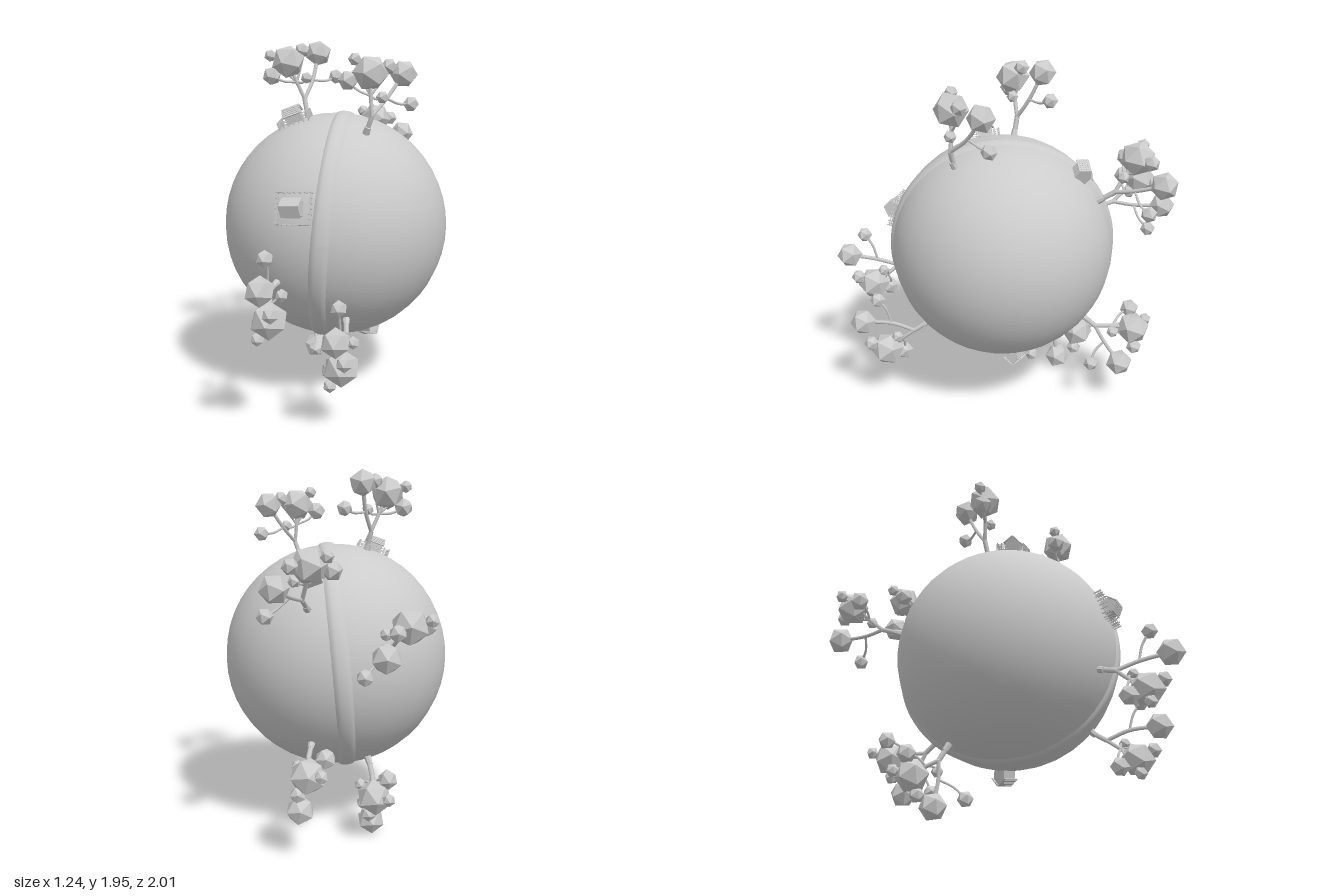
import * as THREE from 'three';

const CENTER = new THREE.Vector3(0, 0.94, 0.013);
const RADIUS = 0.622;
const smooth = new THREE.MeshStandardMaterial({ color: 0xcccccc });
const flat = new THREE.MeshStandardMaterial({ color: 0xcccccc, flatShading: true });
const V = (p) => new THREE.Vector3(...p);

function add(parent, name, geometry, material = flat, position = [0, 0, 0]) {
  const mesh = new THREE.Mesh(geometry, material);
  mesh.name = name;
  mesh.position.set(...position);
  parent.add(mesh);
  return mesh;
}

// Raised band that wanders around the globe, swept as a closed ring
function pathGeometry() {
  const steps = 96, n = 7;
  const pos = [], index = [];
  for (let i = 0; i <= steps; i++) {
    const a = (i / steps) * Math.PI * 2;
    for (let j = 0; j < n; j++) {
      const t = (j / (n - 1)) * 2 - 1;
      const x = 0.055 * Math.sin(a + 0.2) + 0.055 * t;
      const r = Math.sqrt(RADIUS ** 2 - x * x) + 0.012 - 0.024 * t ** 4;
      pos.push(x, r * Math.sin(a), r * Math.cos(a));
    }
  }
  for (let i = 0; i < steps; i++) {
    for (let j = 0; j < n - 1; j++) {
      const a = i * n + j, b = a + n;
      index.push(a, a + 1, b, a + 1, b + 1, b);
    }
  }
  const g = new THREE.BufferGeometry();
  g.setAttribute('position', new THREE.Float32BufferAttribute(pos, 3));
  g.setIndex(index);
  g.computeVertexNormals();
  return g;
}

// Every tree is one design, placed by its foot, main crown and second crown
const TREES = [
  [[0.2, 1.475, 0.27], [0.22, 1.78, 0.28], [0.38, 1.775, 0.13]],
  [[-0.17, 1.535, -0.06], [-0.28, 1.84, -0.055], [-0.135, 1.89, -0.21]],
  [[0.16, 1.26, -0.5], [0.15, 1.49, -0.7], [0.31, 1.39, -0.815]],
  [[-0.23, 1.07, -0.56], [-0.32, 1.215, -0.815], [-0.2, 1.085, -0.935]],
  [[-0.22, 0.73, 0.55], [-0.21, 0.6, 0.79], [-0.22, 0.785, 0.925]],
  [[0.12, 0.515, 0.45], [0.13, 0.34, 0.69], [0.12, 0.515, 0.82]],
  [[0.14, 0.545, -0.44], [0.16, 0.465, -0.735], [0.2, 0.26, -0.66]],
  [[-0.17, 0.4, -0.27], [-0.19, 0.25, -0.46], [-0.18, 0.078, -0.34]],
];
// Small crowns: offset from the main crown (along, outward, across), radius and limb
const SMALL_CROWNS = [
  { offset: [0.277, -0.157, 0.01], radius: 0.044, limb: 1 },
  { offset: [-0.09, -0.044, -0.068], radius: 0.054, limb: 0 },
  { offset: [0.094, 0.037, 0.03], radius: 0.044, limb: 0 },
  { offset: [0.045, -0.118, 0.055], radius: 0.034, limb: 0 },
  { offset: [-0.06, 0.065, -0.06], radius: 0.036, limb: 0 },
];

function branch(tree, name, points, radius) {
  const curve = new THREE.CatmullRomCurve3(points);
  add(tree, name, new THREE.TubeGeometry(curve, 8, radius, 6), smooth);
}

function makeTree(points) {
  const tree = new THREE.Group();
  tree.name = 'tree';
  const [foot, main, second] = points.map(V);
  const up = foot.clone().sub(CENTER).normalize();

  // Tree frame: along the crowns, outward from the foot, and across
  const along = second.clone().sub(main).normalize();
  const outward = main.clone().sub(foot);
  outward.addScaledVector(along, -outward.dot(along)).normalize();
  const frame = new THREE.Matrix4().makeBasis(along, outward, along.clone().cross(outward));

  const crown = (at, radius) => {
    const mesh = add(tree, 'crown', new THREE.IcosahedronGeometry(radius, 0), flat, at.toArray());
    mesh.quaternion.setFromRotationMatrix(frame);
  };

  // Flared trunk foot and short trunk up to the fork
  const fork = foot.clone().addScaledVector(up, 0.07).lerp(main.clone().lerp(second, 0.5), 0.12);
  const stub = add(tree, 'trunkFoot', new THREE.CylinderGeometry(0.016, 0.022, 0.05, 7), flat,
    foot.clone().addScaledVector(up, 0.008).toArray());
  stub.quaternion.setFromUnitVectors(new THREE.Vector3(0, 1, 0), up);
  branch(tree, 'trunk', [foot, foot.clone().lerp(fork, 0.5).addScaledVector(up, 0.008), fork], 0.014);

  // Two main limbs with a bend, each ending in a large crown
  const bends = [main, second].map((tip, i) => {
    const bend = fork.clone().lerp(tip, 0.5).addScaledVector(up, i ? -0.025 : -0.01);
    branch(tree, 'limb', [fork, bend, tip], 0.011);
    crown(tip, i ? 0.076 : 0.096);
    return bend;
  });

  // Twigs with small crowns
  for (const { offset, radius, limb } of SMALL_CROWNS) {
    const tip = V(offset).applyMatrix4(frame).add(main);
    const elbow = bends[limb].clone().lerp(tip, 0.55).addScaledVector(up, -0.015);
    branch(tree, 'twig', [bends[limb], elbow, tip], 0.007);
    crown(tip, radius);
  }
  return tree;
}

// Rectangle of posts and double rails
function makeFence(width, depth) {
  const fence = new THREE.Group();
  fence.name = 'fence';
  for (let k = 0; k < 4; k++) {
    const [length, reach] = k % 2 ? [depth, width / 2] : [width, depth / 2];
    const side = new THREE.Group();
    side.name = 'fenceSide';
    side.rotation.y = (k * Math.PI) / 2;
    for (const y of [0.01, 0.022]) {
      add(side, 'rail', new THREE.BoxGeometry(length, 0.004, 0.003), flat, [0, y, reach]);
    }
    for (let i = 0; i <= 6; i++) {
      add(side, 'post', new THREE.BoxGeometry(0.006, 0.045, 0.005), flat, [(i / 6 - 0.5) * length, 0.01, reach]);
    }
    fence.add(side);
  }
  return fence;
}

// Gabled cabin with boarded roof, standing upright on the globe
function makeHouse({ at, turn, fence }) {
  const house = new THREE.Group();
  house.name = 'house';
  const up = V(at).sub(CENTER).normalize();
  const side = new THREE.Vector3(1, 0, 0).addScaledVector(up, -up.x).normalize();
  house.quaternion.setFromRotationMatrix(
    new THREE.Matrix4().makeBasis(side, up, side.clone().cross(up)));
  house.rotateY(turn);
  house.position.copy(CENTER).addScaledVector(up, RADIUS);

  const gable = new THREE.Shape();
  gable.moveTo(-0.038, -0.015).lineTo(0.038, -0.015).lineTo(0.038, 0.045).lineTo(0, 0.078).lineTo(-0.038, 0.045);
  const walls = new THREE.ExtrudeGeometry(gable, { depth: 0.088, bevelEnabled: false });
  walls.translate(0, 0, -0.044).rotateY(Math.PI / 2);
  add(house, 'walls', walls);
  add(house, 'door', new THREE.BoxGeometry(0.018, 0.035, 0.004), flat, [0, 0.018, 0.039]);
  for (const s of [-1, 1]) {
    add(house, 'window', new THREE.BoxGeometry(0.014, 0.014, 0.004), flat, [s * 0.027, 0.027, 0.039]);
    // Overlapping boards on each slope
    for (let i = 0; i < 5; i++) {
      const t = (i + 0.5) / 5;
      const board = add(house, 'roofBoard', new THREE.BoxGeometry(0.106, 0.005, 0.014), flat,
        [0, 0.083 - t * 0.042, s * t * 0.049]);
      board.rotation.x = s * 0.56;
    }
  }
  if (fence) house.add(makeFence(...fence));
  return house;
}

const HOUSES = [
  { at: [-0.12, 1.12, 0.6], turn: 0, fence: [0.18, 0.16] },
  { at: [-0.21, 1.52, 0.1], turn: 0.05, fence: [0.17, 0.15] },
  { at: [0.13, 1.39, -0.39], turn: 0.25 },
  { at: [0.17, 0.34, -0.05], turn: 0.5 },
];

export function createModel() {
  const model = new THREE.Group();
  model.name = 'tinyPlanet';
  const center = CENTER.toArray();
  add(model, 'globe', new THREE.SphereGeometry(RADIUS, 32, 24), smooth, center);
  add(model, 'path', pathGeometry(), smooth, center);
  TREES.forEach((points) => model.add(makeTree(points)));
  HOUSES.forEach((house) => model.add(makeHouse(house)));
  return model;
}
